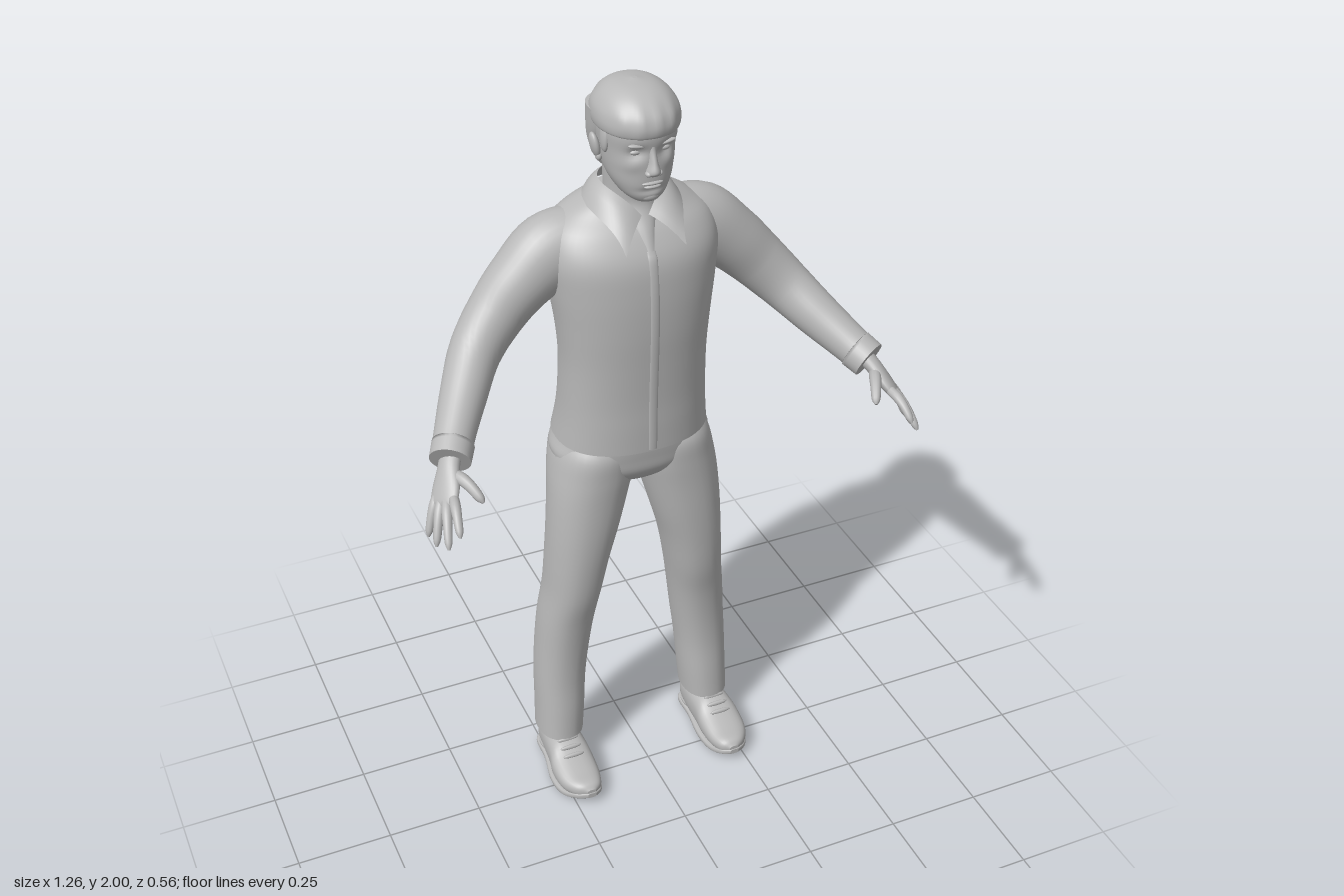
import * as THREE from 'three';

const V = (x, y, z) => new THREE.Vector3(x, y, z);
const UP = V(0, 1, 0), FRONT = V(0, 0, 1), SIDE = V(1, 0, 0);

// Smooth skin through rows of [x, y, z, halfWidth, halfDepth].
// With `axis` all sections are parallel; without it they follow the path.
function loft(rows, { axis = null, ref = SIDE, n = 2, seg = 32, sub = 5, caps = true } = {}) {
  const path = new THREE.CatmullRomCurve3(rows.map(r => V(r[0], r[1], r[2])), false, 'catmullrom');
  const size = new THREE.CatmullRomCurve3(rows.map(r => V(r[3], r[4], 0)), false, 'catmullrom');
  const steps = (rows.length - 1) * sub, pos = [], idx = [];
  const power = c => Math.sign(c) * Math.abs(c) ** (2 / n);
  for (let i = 0; i <= steps; i++) {
    const t = axis || path.getTangent(i / steps);
    const u = ref.clone().addScaledVector(t, -ref.dot(t)).normalize();
    const v = t.clone().cross(u);
    const c = path.getPoint(i / steps), s = size.getPoint(i / steps);
    for (let j = 0; j < seg; j++) {
      const a = j / seg * Math.PI * 2;
      const p = c.clone().addScaledVector(u, s.x * power(Math.cos(a))).addScaledVector(v, s.y * power(Math.sin(a)));
      pos.push(p.x, p.y, p.z);
    }
  }
  for (let i = 0; i < steps; i++) for (let j = 0; j < seg; j++) {
    const a = i * seg + j, b = i * seg + (j + 1) % seg;
    idx.push(a, b, b + seg, a, b + seg, a + seg);
  }
  if (caps) for (const end of [0, steps]) {
    const base = pos.length / 3, c = path.getPoint(end / steps);
    pos.push(...pos.slice(end * seg * 3, (end + 1) * seg * 3), c.x, c.y, c.z);
    for (let j = 0; j < seg; j++) {
      const a = base + j, b = base + (j + 1) % seg;
      idx.push(base + seg, end ? a : b, end ? b : a);
    }
  }
  return finish(pos, idx);
}

function finish(pos, idx) {
  const g = new THREE.BufferGeometry();
  g.setAttribute('position', new THREE.Float32BufferAttribute(pos, 3));
  g.setIndex(idx);
  g.computeVertexNormals();
  return g;
}

// Upright loft from rows of [y, x, halfWidth, frontZ, backZ]
const upright = (rows, opts = {}) =>
  loft(rows.map(([y, x, a, f, b]) => [x, y, (f + b) / 2, a, (f - b) / 2]), { axis: UP, ...opts });

// Moves vertices in z by a rule
function sculpt(g, rule) {
  const p = g.attributes.position;
  for (let i = 0; i < p.count; i++) p.setZ(i, p.getZ(i) + rule(p.getX(i), p.getY(i), p.getZ(i)));
  g.computeVertexNormals();
  return g;
}
const bump = (d, w) => Math.exp(-((d / w) ** 2));

function ball(x, y, z, a, b, c, turn = 0) {
  return new THREE.SphereGeometry(1, 20, 14).scale(a, b, c).rotateZ(turn).translate(x, y, z);
}

function mirrored(g) {
  const m = g.clone().scale(-1, 1, 1), k = m.index.array;
  for (let i = 0; i < k.length; i += 3) [k[i], k[i + 1]] = [k[i + 1], k[i]];
  return m;
}

export function createModel() {
  const grey = new THREE.MeshStandardMaterial({ color: 0xb8b8b8 });
  grey.name = 'plain grey';
  grey.side = THREE.DoubleSide;
  const model = new THREE.Group();
  model.name = 'standingMan';
  const add = (name, g) => {
    const m = new THREE.Mesh(g, grey);
    m.name = name;
    model.add(m);
  };
  const pair = (name, g) => {
    add(name + 'Left', g);
    add(name + 'Right', mirrored(g));
  };

  // Shirt body with a shallow groove along the spine
  const shirt = upright([
    [1.06, 0, 0.198, 0.03, -0.278], [1.13, 0, 0.19, 0.032, -0.256], [1.2, 0, 0.186, 0.033, -0.24],
    [1.3, 0, 0.185, 0.038, -0.23], [1.4, 0, 0.193, 0.043, -0.232], [1.5, 0, 0.207, 0.042, -0.244],
    [1.58, 0, 0.215, 0.032, -0.247], [1.64, 0, 0.2, 0.0, -0.24], [1.68, 0, 0.155, -0.035, -0.22],
    [1.71, 0, 0.1, -0.05, -0.195], [1.725, 0, 0.07, -0.055, -0.18]], { n: 2.3, seg: 56 });
  add('shirt', sculpt(shirt, (x, y, z) =>
    z < -0.13 ? 0.014 * bump(x, 0.04) * bump(y - 1.42, 0.2) : 0));

  // Front closing strip
  const edge = [[1.065, 0.03], [1.2, 0.033], [1.3, 0.038], [1.4, 0.043], [1.5, 0.042], [1.58, 0.032], [1.61, 0.018]];
  add('placket', loft(edge.map(([y, z]) => [0, y, z - 0.001, 0.012, 0.004]), { axis: UP, seg: 12 }));

  // Folded collar, open at the front with two points
  const cp = [], ci = [], N = 48, W = 5;
  for (let i = 0; i <= N; i++) {
    const a = (i / N * 2 - 1) * (Math.PI - 0.12), f = Math.abs(a) / Math.PI, tip = f ** 5;
    const sx = Math.sin(a), sz = -Math.cos(a);
    for (let j = 0; j < W; j++) {
      const k = j / (W - 1), r = 0.073 + 0.04 * k;
      const spread = Math.sign(a) * tip * k * 0.075;
      cp.push(sx * r + spread, 1.748 - 0.075 * tip - k * (0.045 + 0.02 * tip) + 0.008 * Math.sin(k * 3.14),
        -0.112 + sz * (0.073 + k * 0.033) + tip * k * 0.04 + tip * 0.028);
      if (i < N && j < W - 1) {
        const q = i * W + j;
        ci.push(q, q + W, q + 1, q + 1, q + W, q + W + 1);
      }
    }
  }
  add('collar', finish(cp, ci));

  // Sleeves, bent forwards at the elbow
  pair('sleeve', loft([
    [0.1, 1.605, -0.128, 0.08, 0.08], [0.19, 1.575, -0.135, 0.097, 0.085], [0.27, 1.52, -0.128, 0.082, 0.077],
    [0.34, 1.45, -0.117, 0.073, 0.068], [0.405, 1.38, -0.085, 0.066, 0.062], [0.46, 1.32, -0.015, 0.058, 0.056],
    [0.51, 1.27, 0.06, 0.05, 0.049], [0.541, 1.24, 0.113, 0.045, 0.046]], { ref: UP }));
  pair('cuff', loft([[0.523, 1.256, 0.083, 0.05, 0.05], [0.543, 1.238, 0.117, 0.048, 0.049]], { ref: UP }));

  // Hands: palm, four fingers and a thumb
  const across = V(-0.028, 0.015, 0.06).normalize();
  pair('palm', loft([
    [0.535, 1.245, 0.1, 0.028, 0.022], [0.55, 1.226, 0.125, 0.03, 0.02], [0.568, 1.195, 0.155, 0.04, 0.018],
    [0.582, 1.172, 0.177, 0.04, 0.014], [0.587, 1.163, 0.184, 0.03, 0.008]], { ref: across, seg: 24 }));
  const digits = {
    indexFinger: [[0.564, 1.188, 0.196], [0.58, 1.14, 0.28]],
    middleFinger: [[0.578, 1.178, 0.184], [0.605, 1.105, 0.268]],
    ringFinger: [[0.586, 1.172, 0.168], [0.62, 1.088, 0.222]],
    littleFinger: [[0.59, 1.172, 0.15], [0.625, 1.088, 0.178]],
    thumb: [[0.545, 1.218, 0.145], [0.505, 1.183, 0.23]],
  };
  for (const [name, [from, to]] of Object.entries(digits)) {
    const w = name === 'thumb' ? 1.2 : 1;
    const radii = [[0, 0.012], [0.3, 0.0125], [0.6, 0.011], [0.88, 0.009], [1, 0.003]];
    pair(name, loft(radii.map(([k, r]) => [
      ...from.map((c, i) => c + (to[i] - c) * k + (i === 1 ? 0.012 * Math.sin(k * Math.PI) : 0)), r * w, r * w]),
      { ref: across, seg: 12, sub: 3 }));
  }

  // Trousers: seat and two legs
  add('trouserSeat', upright([
    [0.925, 0, 0.03, -0.06, -0.14], [0.945, 0, 0.1, -0.025, -0.185], [0.98, 0, 0.185, -0.002, -0.225],
    [1.02, 0, 0.209, 0.004, -0.25], [1.06, 0, 0.197, 0.008, -0.262], [1.1, 0, 0.182, 0.01, -0.24]],
    { n: 2.3, seg: 48 }));
  pair('trouserLeg', upright([
    [0.115, 0.218, 0.062, -0.04, -0.2], [0.2, 0.213, 0.065, -0.044, -0.202], [0.3, 0.208, 0.068, -0.05, -0.204],
    [0.4, 0.199, 0.071, -0.047, -0.208], [0.5, 0.188, 0.073, -0.035, -0.206], [0.6, 0.173, 0.074, -0.015, -0.2],
    [0.7, 0.16, 0.081, -0.005, -0.195], [0.8, 0.143, 0.092, 0, -0.193], [0.9, 0.125, 0.102, 0.001, -0.205],
    [0.97, 0.111, 0.107, 0.002, -0.232], [1.03, 0.104, 0.1, 0, -0.245], [1.07, 0.1, 0.08, -0.02, -0.22]],
    { n: 2.2 }));

  // Shoes: upper, sole, heel, ankle and laces
  const along = { axis: FRONT, seg: 28 };
  pair('shoeUpper', loft([
    [0.218, 0.05, -0.188, 0.02, 0.025], [0.218, 0.055, -0.175, 0.042, 0.045], [0.218, 0.06, -0.12, 0.05, 0.055],
    [0.22, 0.06, -0.05, 0.055, 0.055], [0.222, 0.05, -0.005, 0.06, 0.042], [0.221, 0.044, 0.05, 0.055, 0.03],
    [0.216, 0.045, 0.09, 0.037, 0.022], [0.213, 0.045, 0.108, 0.012, 0.008]], { ...along, n: 2.5 }));
  pair('shoeSole', loft([
    [0.218, 0.02, -0.193, 0.025, 0.008], [0.218, 0.018, -0.17, 0.05, 0.011], [0.219, 0.016, -0.1, 0.052, 0.01],
    [0.222, 0.012, -0.02, 0.063, 0.011], [0.221, 0.015, 0.045, 0.058, 0.011], [0.216, 0.03, 0.092, 0.038, 0.01],
    [0.213, 0.037, 0.112, 0.012, 0.007]], { ...along, n: 4 }));
  pair('shoeHeel', upright([[0.006, 0.218, 0.046, -0.1, -0.184], [0.03, 0.218, 0.048, -0.1, -0.188]], { n: 2.6 }));
  pair('ankle', upright([[0.05, 0.218, 0.048, -0.04, -0.18], [0.1, 0.218, 0.044, -0.055, -0.178],
    [0.18, 0.215, 0.042, -0.07, -0.18]]));
  for (let i = 0; i < 3; i++) {
    const z = -0.045 + i * 0.022, y = 0.113 - i * 0.011;
    pair('lace' + (i + 1), ball(0.221, y, z, 0.03, 0.007, 0.006));
  }

  // Neck
  add('neck', upright([
    [1.6, 0, 0.035, 0.026, -0.12], [1.65, 0, 0.045, 0.0, -0.15], [1.7, 0, 0.062, -0.032, -0.17],
    [1.74, 0, 0.063, -0.032, -0.175], [1.8, 0, 0.064, -0.02, -0.175]]));

  // Head with sunken eye sockets, cheeks and chin
  const head = upright([
    [1.732, 0, 0.02, 0.005, -0.05], [1.738, 0, 0.036, 0.016, -0.075], [1.755, 0, 0.055, 0.024, -0.11],
    [1.785, 0, 0.072, 0.028, -0.145], [1.82, 0, 0.081, 0.029, -0.168], [1.86, 0, 0.086, 0.03, -0.18],
    [1.9, 0, 0.09, 0.034, -0.184], [1.94, 0, 0.086, 0.024, -0.178], [1.97, 0, 0.066, -0.005, -0.15],
    [1.985, 0, 0.03, -0.04, -0.11]], { n: 2.2, seg: 64, sub: 6 });
  add('head', sculpt(head, (x, y, z) => z < -0.03 ? 0 :
    -0.011 * bump(Math.abs(x) - 0.034, 0.018) * bump(y - 1.862, 0.014)
    + 0.004 * bump(Math.abs(x) - 0.05, 0.02) * bump(y - 1.832, 0.016)
    - 0.005 * bump(x, 0.03) * bump(y - 1.768, 0.007)));
  add('nose', upright([
    [1.803, 0, 0.008, 0.03, 0.005], [1.81, 0, 0.018, 0.044, 0], [1.82, 0, 0.017, 0.052, 0],
    [1.84, 0, 0.011, 0.045, 0.005], [1.865, 0, 0.009, 0.035, 0.01], [1.885, 0, 0.01, 0.031, 0.01]],
    { seg: 20 }));
  pair('nostril', ball(0.013, 1.814, 0.033, 0.008, 0.007, 0.01));
  pair('eye', ball(0.034, 1.862, 0.009, 0.015, 0.007, 0.009));
  pair('brow', ball(0.035, 1.881, 0.022, 0.023, 0.005, 0.008, 0.15));
  add('upperLip', ball(0, 1.787, 0.025, 0.026, 0.005, 0.009));
  add('lowerLip', ball(0, 1.778, 0.024, 0.021, 0.005, 0.009));
  add('chin', ball(0, 1.75, 0.01, 0.024, 0.014, 0.014));
  pair('ear', ball(0.092, 1.848, -0.09, 0.011, 0.032, 0.02, -0.2));
  pair('earLobe', ball(0.086, 1.823, -0.083, 0.008, 0.012, 0.011));

  // Hair: cap with fringe, back of the head and sideburns
  const cap = upright([
    [1.9, 0, 0.089, 0.036, -0.186], [1.904, 0, 0.096, 0.044, -0.194], [1.925, 0, 0.098, 0.046, -0.196],
    [1.95, 0, 0.092, 0.036, -0.188], [1.975, 0, 0.074, 0.01, -0.166], [1.992, 0, 0.046, -0.025, -0.135],
    [2.0, 0, 0.006, -0.07, -0.082]], { n: 2.15, seg: 64 });
  add('hairCap', sculpt(cap, (x, y) => 0.002 * Math.sin(x * 160) * bump(y - 1.94, 0.03)));
  add('hairBack', upright([
    [1.775, 0, 0.06, -0.11, -0.178], [1.8, 0, 0.074, -0.1, -0.184], [1.84, 0, 0.087, -0.085, -0.192],
    [1.88, 0, 0.094, -0.05, -0.195], [1.93, 0, 0.097, -0.02, -0.196]], { n: 2.4, seg: 48 }));
  pair('sideburn', ball(0.084, 1.88, -0.052, 0.009, 0.035, 0.018));

  return model;
}
